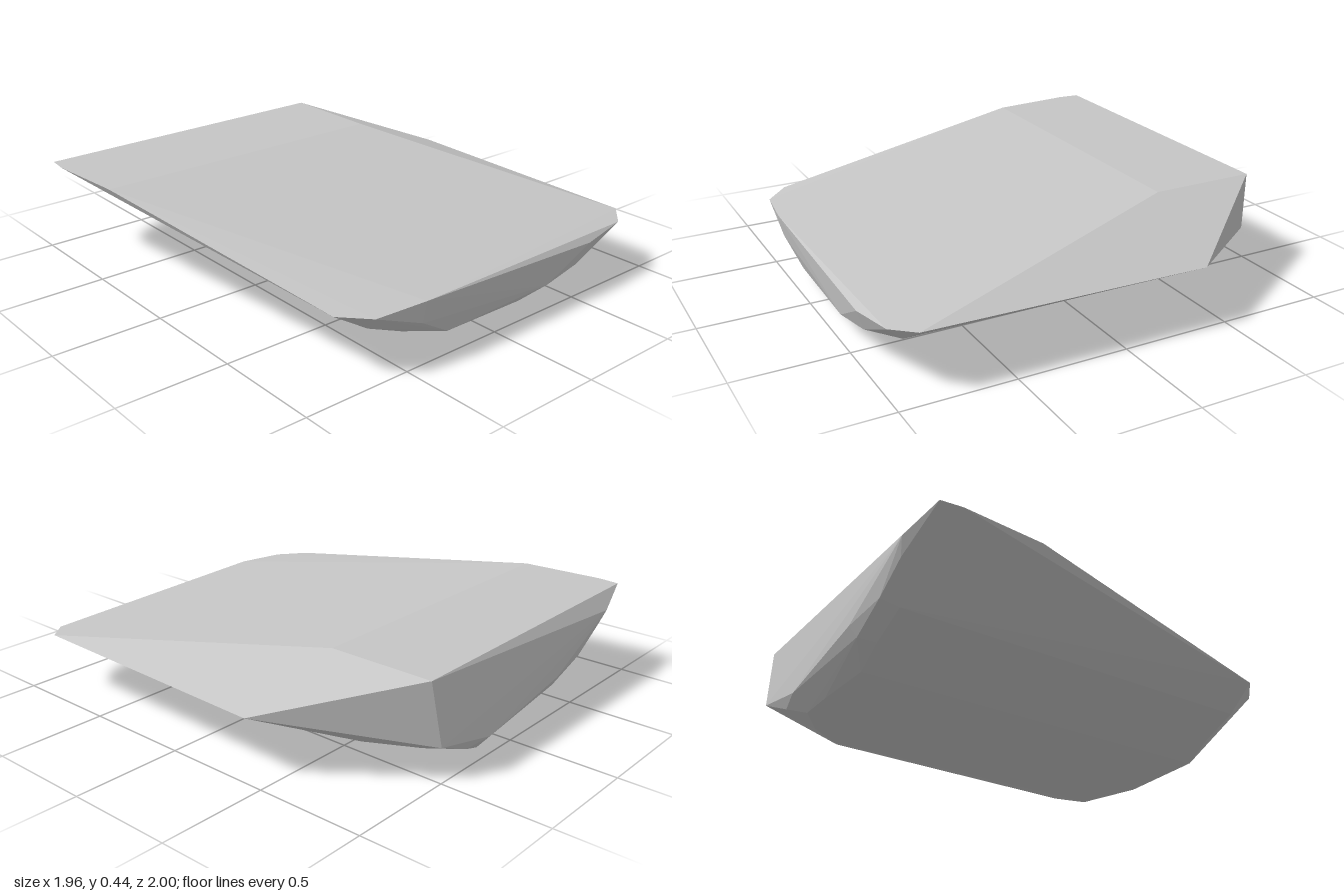
import * as THREE from 'three';
import { ConvexGeometry } from 'three/addons/geometries/ConvexGeometry.js';

export function createModel() {
  const stone = new THREE.MeshStandardMaterial({ color: 0xc5c5c5 });
  stone.name = 'pale grey stone';

  // Flat raised top at the back
  const top = [
    [-0.97, 0.44, -0.95], [-0.98, 0.44, -0.85], [-0.95, 0.44, -0.46],
    [0.53, 0.44, -0.46], [0.53, 0.44, -0.96],
  ];

  // Rim around the sloping front and the left side
  const rim = [
    [0.98, 0.27, -0.4], [0.94, 0.27, 0.88], [0.84, 0.26, 0.97], [0.6, 0.235, 1],
    [-0.4, 0.275, 1], [-0.64, 0.265, 0.97], [-0.755, 0.27, 0.86],
  ];

  // Chipped front end
  const front = [
    [-0.4, 0.17, 0.98], [0.35, 0.1, 0.98], [0.56, 0.125, 0.96],
    [-0.23, 0.065, 0.95], [0.2, 0.06, 0.95], [-0.6, 0.175, 0.88],
    [-0.42, 0.1, 0.88], [-0.25, 0.05, 0.88], [0.53, 0.075, 0.88],
    [0.8, 0.18, 0.89],
  ];

  // Rounded belly
  const belly = [
    [-0.05, 0.022, 0.76], [0.13, 0.02, 0.76], [-0.6, 0.175, -0.9],
    [-0.42, 0.1, -0.9], [-0.25, 0.045, -0.88], [0, 0.012, -0.92],
    [0.15, 0, -0.93], [0.35, 0.03, -0.8], [0.53, 0.07, -0.62],
  ];

  // Chipped back end
  const back = [
    [-0.78, 0.37, -1], [0.49, 0.15, -0.99],
    [0.29, 0.06, -0.97], [0.16, 0.08, -1], [-0.36, 0.17, -1],
    [-0.38, 0.12, -0.97], [-0.58, 0.2, -0.98], [-0.74, 0.3, -0.98],
  ];

  const points = [...top, ...rim, ...front, ...belly, ...back]
    .map((p) => new THREE.Vector3(...p));
  const slab = new THREE.Mesh(new ConvexGeometry(points), stone);
  slab.name = 'rockSlab';

  const group = new THREE.Group();
  group.name = 'rock';
  group.add(slab);
  return group;
}
